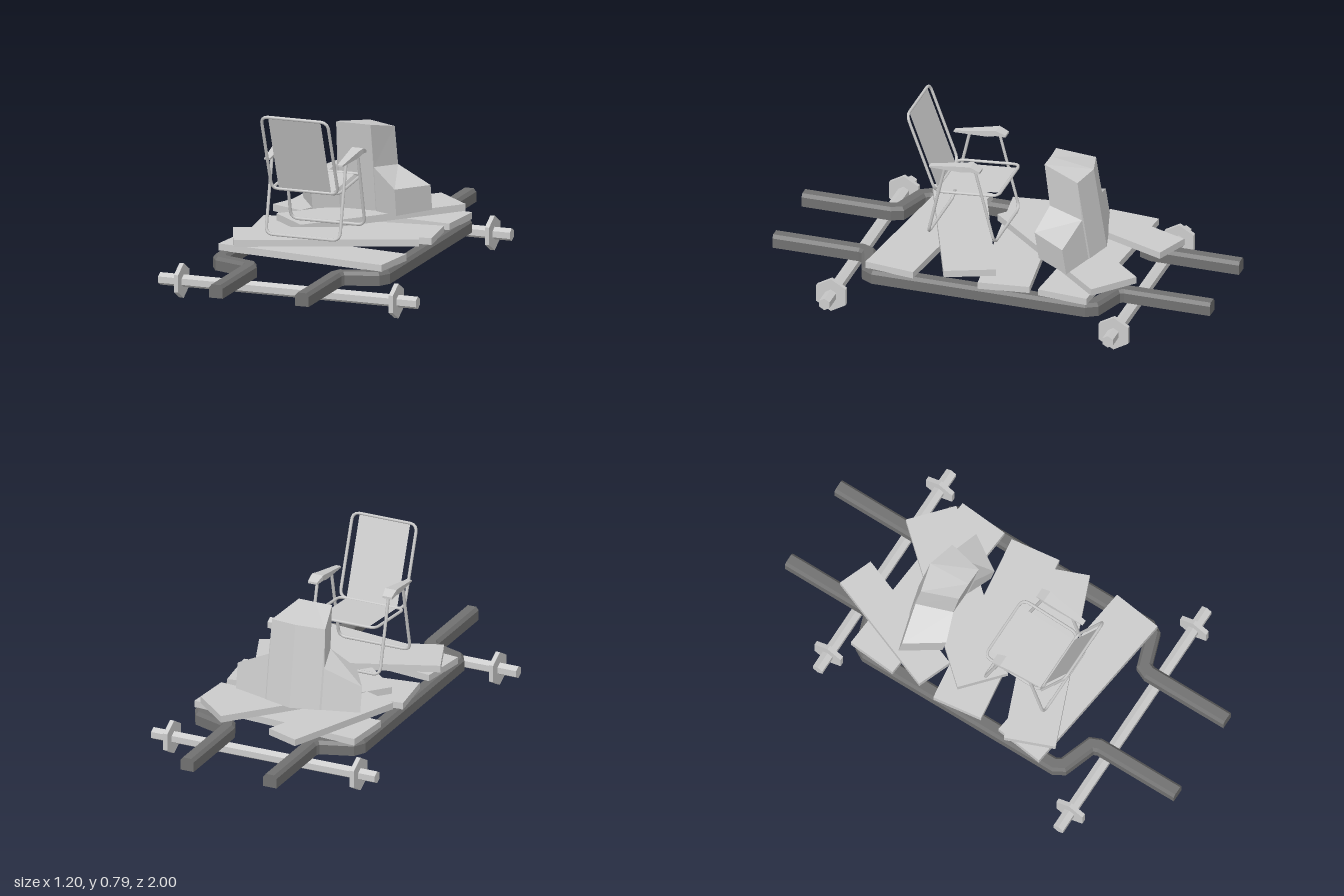
import * as THREE from 'three';

const grey = new THREE.MeshStandardMaterial({ color: 0xcccccc, flatShading: true });
const dark = new THREE.MeshStandardMaterial({ color: 0x707070, flatShading: true });
const smooth = new THREE.MeshStandardMaterial({ color: 0xcccccc });
const cloth = new THREE.MeshStandardMaterial({ color: 0xcccccc, side: THREE.DoubleSide });

function add(parent, name, geometry, material = grey) {
  const mesh = new THREE.Mesh(geometry, material);
  mesh.name = name;
  parent.add(mesh);
  return mesh;
}

// Solid through a row of rings, each counter-clockwise about the row's direction
function loft(rings) {
  const pos = [];
  const tri = (...pts) => pts.forEach(p => pos.push(...p));
  const n = rings[0].length;
  for (let i = 0; i < rings.length - 1; i++) {
    for (let j = 0; j < n; j++) {
      const k = (j + 1) % n;
      const [a, b, c, d] = [rings[i][j], rings[i][k], rings[i + 1][k], rings[i + 1][j]];
      tri(a, b, c);
      tri(a, c, d);
    }
  }
  const first = rings[0], last = rings[rings.length - 1];
  for (let j = 1; j < n - 1; j++) {
    tri(first[0], first[j + 1], first[j]);
    tri(last[0], last[j], last[j + 1]);
  }
  const g = new THREE.BufferGeometry();
  g.setAttribute('position', new THREE.Float32BufferAttribute(pos, 3));
  g.computeVertexNormals();
  return g;
}

// Chamfered beam that bulges outwards around the deck, with mitred bends
function railGeometry(side) {
  const half = [[0.2, 1], [0.2, 0.6], [0.215, 0.565], [0.36, 0.515], [0.38, 0.48]];
  const path = [...half.map(([x, z]) => [x, -z]), ...half.slice().reverse()]
    .map(([x, z]) => new THREE.Vector2(side * x, z));
  const section = [[-0.032, 0.11], [0.032, 0.11], [0.032, 0.155], [0.02, 0.17], [-0.02, 0.17], [-0.032, 0.155]];
  return loft(path.map((p, i) => {
    const before = p.clone().sub(path[Math.max(i - 1, 0)]).normalize();
    const after = path[Math.min(i + 1, path.length - 1)].clone().sub(p).normalize();
    const t = before.clone().add(after).normalize();
    const stretch = 1 / t.dot(i ? before : after);
    return section.map(([u, y]) => [p.x + t.y * u * stretch, y, p.y - t.x * u * stretch]);
  }));
}

function axle(z, halfLength, wheelX) {
  const g = new THREE.Group();
  g.name = 'axle';
  const bar = (name, r, len, x) => {
    const geo = new THREE.CylinderGeometry(r, r, len, 6, 1, false, Math.PI / 6);
    add(g, name, geo.rotateZ(Math.PI / 2).translate(x, 0, 0));
  };
  bar('axleRod', 0.028, halfLength * 2, 0);
  for (const s of [-1, 1]) bar('wheel', 0.0775, 0.02, s * wheelX);
  g.position.set(0, 0.0775, z);
  return g;
}

// Bent tube in the local XY plane, from y = 0 to h, either a full loop or open at the top
function tubeFrame(w, h, closed) {
  const r = 0.035, v = (x, y) => new THREE.Vector3(x, y, 0);
  const corners = closed ? [[w, h], [-w, h], [-w, 0], [w, 0]] : [[-w, 0], [w, 0]];
  const path = new THREE.CurvePath();
  const start = closed ? v(w, h / 2) : v(-w, h);
  const end = closed ? start : v(w, h);
  let at = start;
  corners.forEach(([x, y], i) => {
    const c = v(x, y);
    const next = i < corners.length - 1 ? v(...corners[i + 1]) : end;
    const a = c.clone().add(at.clone().sub(c).setLength(r));
    const b = c.clone().add(next.clone().sub(c).setLength(r));
    path.add(new THREE.LineCurve3(at, a));
    path.add(new THREE.QuadraticBezierCurve3(a, c, b));
    at = b;
  });
  path.add(new THREE.LineCurve3(at, end));
  return new THREE.TubeGeometry(path, 90, 0.007, 6, false);
}

function foldingChair() {
  const chair = new THREE.Group();
  chair.name = 'foldingChair';
  // Places a frame so that it runs between two points of the side profile [z, y]
  const place = (name, w, [z0, y0], [z1, y1], closed) => {
    const g = new THREE.Group();
    const h = Math.hypot(z1 - z0, y1 - y0);
    g.name = name;
    g.position.set(0, y0, z0);
    g.rotation.x = Math.atan2(z1 - z0, y1 - y0);
    add(g, name + 'Tube', tubeFrame(w, h, closed), smooth);
    if (closed) add(g, name + 'Cloth', new THREE.PlaneGeometry(0.244, h).translate(0, h / 2, 0), cloth);
    chair.add(g);
  };
  place('backrest', 0.155, [0.3, 0.437], [0.43, 0.787], true);
  place('seat', 0.155, [0.3, 0.437], [0.015, 0.46], true);
  place('frontLegs', 0.172, [0.025, 0.237], [0.115, 0.585], false);
  place('rearLegs', 0.172, [0.328, 0.237], [0.25, 0.575], false);

  // Armrests: z, bottom, top, inner x, outer x
  const arm = [
    [0.083, 0.578, 0.588, 0.158, 0.202],
    [0.125, 0.583, 0.607, 0.15, 0.204],
    [0.165, 0.572, 0.6, 0.152, 0.197],
    [0.32, 0.566, 0.573, 0.158, 0.183],
  ];
  for (const s of [1, -1]) {
    const rings = arm.map(([z, b, t, i, o]) => [[i, b], [o, b], [o, t], [i, t]].map(([x, y]) => [s * x, y, z]));
    add(chair, 'armrest', loft(s > 0 ? rings : rings.reverse()));
  }
  chair.position.x = -0.058;
  return chair;
}

// Chevron-shaped block with low wings and a tall middle, leaning forwards
function carvedBlock() {
  const base = 0.23;
  // back x, back z, front x, front z, back height, front height
  const half = [
    [0.3, -0.358, 0.195, -0.198, 0.345, 0.352],
    [0.135, -0.405, 0.085, -0.245, 0.415, 0.435],
    [0.128, -0.41, 0.08, -0.25, 0.59, 0.63],
  ];
  const lean = (x, y, z) => [x, y, z + (y - base) * 0.16];
  const ring = s => ([bx, bz, fx, fz, by, fy]) => [
    lean(s * bx, base, bz), lean(s * bx, by, bz), lean(s * fx, fy, fz), lean(s * fx, base, fz),
  ];
  const middle = ring(1)([0, -0.444, 0, -0.252, 0.6, 0.63]);
  return loft([...half.map(ring(-1)), middle, ...half.slice().reverse().map(ring(1))]);
}

export function createModel() {
  const model = new THREE.Group();
  model.name = 'raftCart';

  for (const s of [-1, 1]) add(model, 'rail', railGeometry(s), dark);
  model.add(axle(0.64, 0.6, 0.5), axle(-0.635, 0.54, 0.45));

  // Loose planks in two layers: x, z, direction x, direction z, layer, scale
  const planks = [
    [0, 0.36, 0.99, 0.125, 0, 1],
    [0, -0.06, 0.99, -0.13, 0, 1],
    [0, -0.413, 0.997, 0.08, 0, 1],
    [0, 0.2, 0.925, -0.37, 1, 1],
    [0.024, -0.278, 0.66, -0.75, 1, 1],
    [-0.222, -0.44, 0.36, -0.93, 1, 0.72],
  ];
  for (const [x, z, dx, dz, layer, scale] of planks) {
    const plank = add(model, 'plank', new THREE.BoxGeometry(0.805 * scale, 0.031, 0.228 * scale));
    plank.position.set(x, 0.184 + layer * 0.031, z);
    plank.rotation.y = Math.atan2(-dz, dx);
  }

  add(model, 'carvedBlock', carvedBlock()).position.x = -0.023;
  model.add(foldingChair());
  return model;
}
